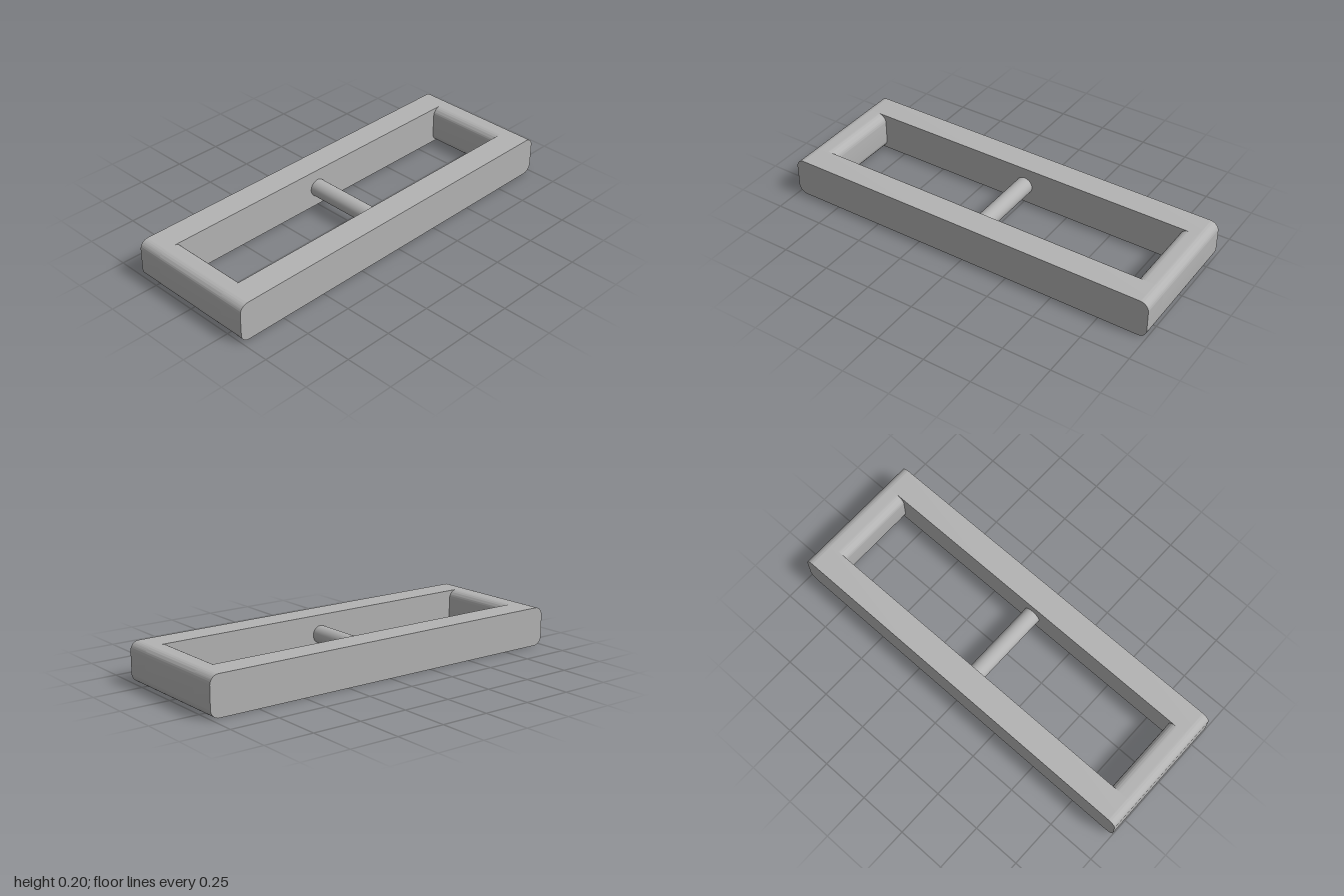
import * as THREE from 'three';
import { toCreasedNormals } from 'three/addons/utils/BufferGeometryUtils.js';

const HEIGHT = 0.2;
const DEPTH = 0.69;
const BAR = 0.135; // thickness of the frame members
const FILLET = 0.045;

// Rounded rectangle in XY, extruded along z and centred on z = 0
function roundedBar(width, depth) {
  const x = width / 2, y = HEIGHT / 2, r = FILLET;
  const shape = new THREE.Shape();
  shape.absarc(x - r, y - r, r, 0, Math.PI / 2);
  shape.absarc(-x + r, y - r, r, Math.PI / 2, Math.PI);
  shape.absarc(-x + r, -y + r, r, Math.PI, Math.PI * 1.5);
  shape.absarc(x - r, -y + r, r, Math.PI * 1.5, Math.PI * 2);
  const geometry = new THREE.ExtrudeGeometry(shape, { depth, bevelEnabled: false, curveSegments: 12 });
  geometry.translate(0, 0, -depth / 2);
  return toCreasedNormals(geometry, 0.5);
}

export function createModel() {
  const model = new THREE.Group();
  model.name = 'buckleFrame';
  const metal = new THREE.MeshStandardMaterial({ color: 0xb3b3b3 });
  metal.name = 'grey metal';

  const add = (name, geometry, x, z) => {
    const mesh = new THREE.Mesh(geometry, metal);
    mesh.name = name;
    mesh.position.set(x, HEIGHT / 2, z);
    model.add(mesh);
  };

  const innerDepth = DEPTH - 2 * BAR;

  // Long rails at front and back
  const rail = roundedBar(2, BAR);
  add('frontRail', rail, 0, (DEPTH - BAR) / 2);
  add('backRail', rail, 0, -(DEPTH - BAR) / 2);

  // Rounded end bars between the rails
  const end = roundedBar(BAR, innerDepth);
  add('leftEndBar', end, 1 - BAR / 2, 0);
  add('rightEndBar', end, -1 + BAR / 2, 0);

  // Round pin across the middle
  const pin = new THREE.CylinderGeometry(0.045, 0.045, innerDepth, 40, 1, true);
  pin.rotateX(Math.PI / 2);
  add('centrePin', pin, 0, 0);

  return model;
}
